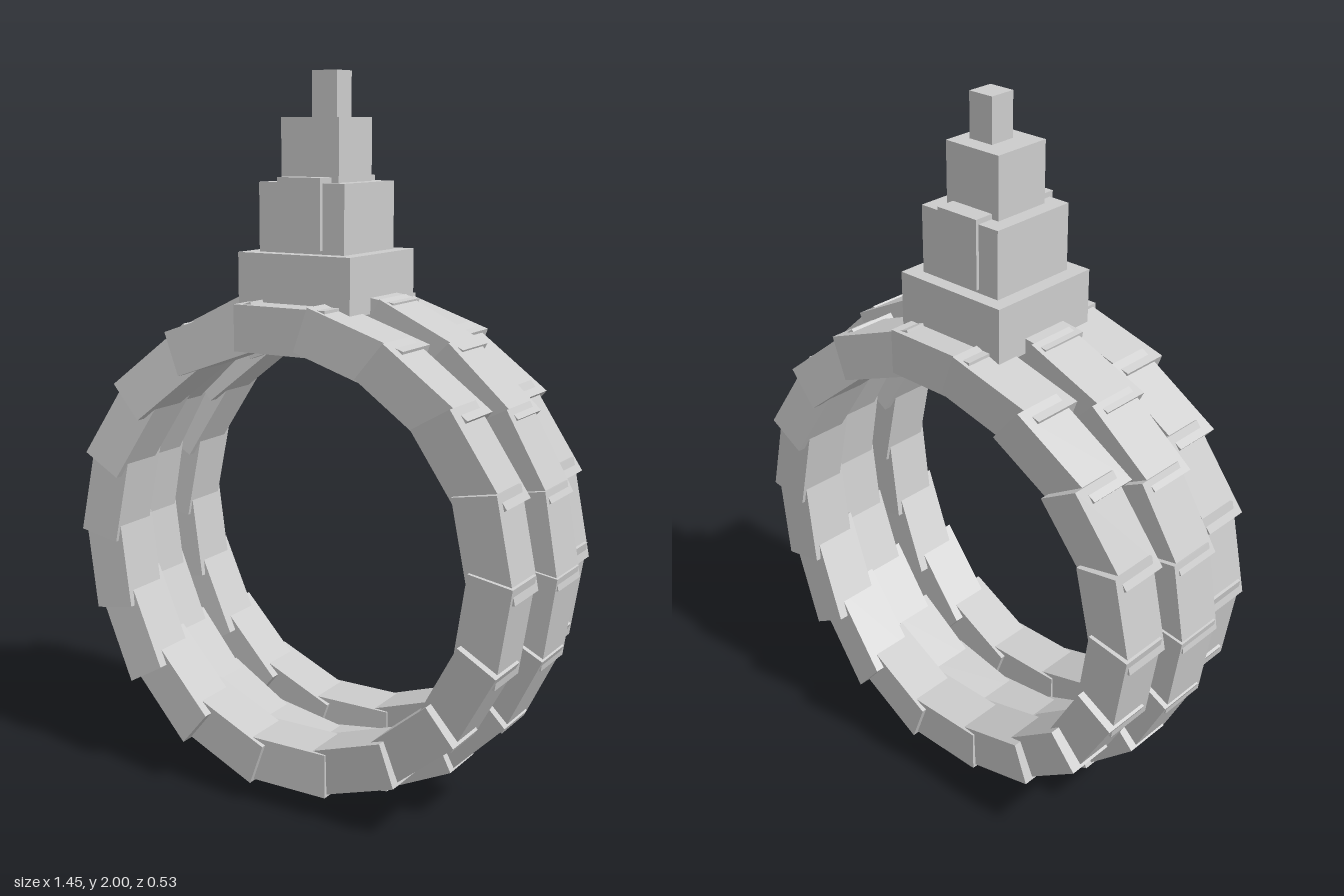
import * as THREE from 'three';

export function createModel() {
  const model = new THREE.Group();
  const grey = new THREE.MeshStandardMaterial({ color: 0xcccccc });
  grey.name = 'light grey';

  // One hoop of overlapping straight blocks; each block is skewed sideways along its
  // length, most on the diagonals, while its ends stay square across the hoop
  function hoop(name, { count, offset, outer, depth, length, width, y, z, skew }) {
    const group = new THREE.Group();
    group.name = name;
    group.position.set(0, y, z);
    for (let i = 0; i < count; i++) {
      const angle = ((i + offset) / count) * Math.PI * 2; // clockwise from the top
      const slope = -skew * Math.abs(Math.sin(2 * angle));
      const block = new THREE.BoxGeometry(length, depth, width);
      block.applyMatrix4(new THREE.Matrix4().makeShear(0, slope, 0, 0, 0, 0));
      block.translate(0, outer - depth / 2, 0);
      const mesh = new THREE.Mesh(block, grey);
      mesh.name = 'hoopBlock';
      mesh.rotation.z = -angle;
      group.add(mesh);
    }
    model.add(group);
  }

  // Side hoops
  for (const [name, z] of [['frontHoop', 0.167], ['backHoop', -0.178]]) {
    hoop(name, {
      count: 18, offset: 0, outer: 0.667, depth: 0.125, length: 0.28, width: 0.144,
      y: 0.733, z, skew: 0.16,
    });
  }

  // Larger middle hoop
  hoop('middleHoop', {
    count: 20, offset: 0.5, outer: 0.712, depth: 0.125, length: 0.26, width: 0.145,
    y: 0.724, z: -0.009, skew: 0.12,
  });

  // Stepped tower: [name, x0, x1, y0, y1, z0, z1]
  const tower = [
    ['towerBase', -0.173, 0.172, 1.375, 1.53, -0.177, 0.167],
    ['towerLowerTier', -0.132, 0.13, 1.53, 1.713, -0.138, 0.125],
    ['towerCrossBlock', -0.068, 0.065, 1.54, 1.727, -0.147, 0.137],
    ['towerUpperTier', -0.09, 0.087, 1.7, 1.88, -0.091, 0.081],
    ['towerTip', -0.024, 0.052, 1.88, 2.0, -0.043, 0.033],
  ];
  for (const [name, x0, x1, y0, y1, z0, z1] of tower) {
    const mesh = new THREE.Mesh(new THREE.BoxGeometry(x1 - x0, y1 - y0, z1 - z0), grey);
    mesh.name = name;
    mesh.position.set((x0 + x1) / 2, (y0 + y1) / 2, (z0 + z1) / 2);
    model.add(mesh);
  }

  return model;
}
